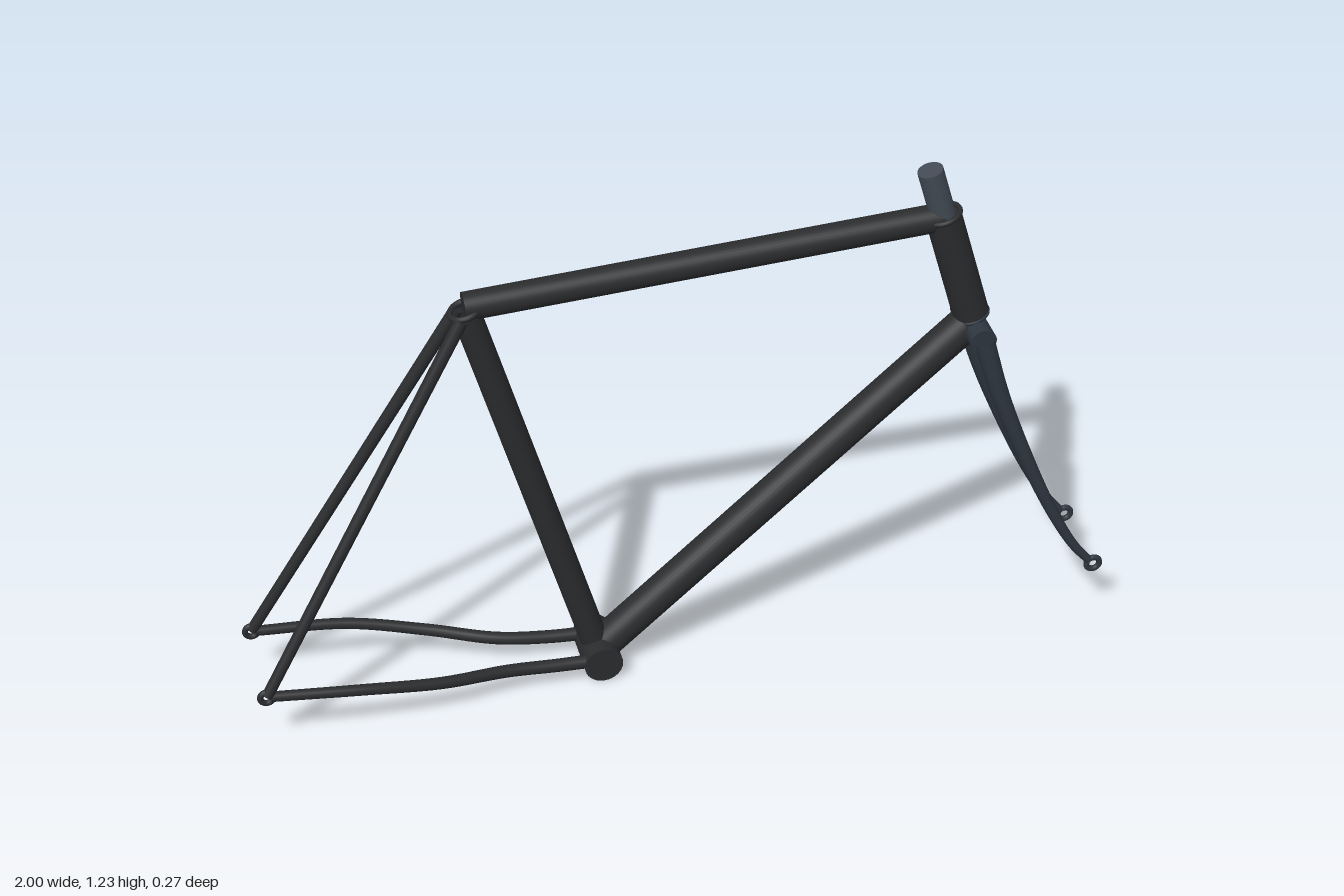
import * as THREE from 'three';

const paint = (color) => new THREE.MeshStandardMaterial({ color, side: THREE.DoubleSide });
const frameMat = paint(0x2b2c2e);
const forkMat = paint(0x2e3640);
const steelMat = paint(0x434b55);
const V = (x, y, z = 0) => new THREE.Vector3(x, y, z);
const UP = V(0, 1, 0);

// Main joints of the frame, all in the x/y plane
const bottom = V(-0.195, 0.045);
const seatTop = V(-0.472, 1.025);
const headTop = V(0.594, 1.107);
const headLow = V(0.673, 0.836);
const headAxis = headTop.clone().sub(headLow).normalize();

export function createModel() {
  const group = new THREE.Group();

  function add(name, geometry, material) {
    const mesh = new THREE.Mesh(geometry, material);
    mesh.name = name;
    group.add(mesh);
    return mesh;
  }

  // Straight tube between two points
  function tube(name, a, b, rA, rB, material, open = false) {
    const geo = new THREE.CylinderGeometry(rB, rA, a.distanceTo(b), 32, 1, open);
    const mesh = add(name, geo, material);
    mesh.position.copy(a).lerp(b, 0.5);
    mesh.quaternion.setFromUnitVectors(UP, b.clone().sub(a).normalize());
    return mesh;
  }

  // Curved tube whose radius tapers from rA to rB
  function taperedTube(name, points, rA, rB, material) {
    const curve = new THREE.CatmullRomCurve3(points);
    const steps = 40, sides = 16;
    const geo = new THREE.TubeGeometry(curve, steps, 1, sides);
    const pos = geo.attributes.position;
    const p = V(0, 0);
    for (let i = 0; i < pos.count; i++) {
      const t = Math.floor(i / (sides + 1)) / steps;
      const c = curve.getPointAt(t);
      p.fromBufferAttribute(pos, i).sub(c);
      p.multiplyScalar(THREE.MathUtils.lerp(rA, rB, t)).add(c);
      pos.setXYZ(i, p.x, p.y, p.z);
    }
    return add(name, geo, material);
  }

  // Ring around a given axis
  function ring(name, center, axis, radius, thickness, material) {
    const mesh = add(name, new THREE.TorusGeometry(radius, thickness, 12, 32), material);
    mesh.position.copy(center);
    mesh.quaternion.setFromUnitVectors(V(0, 0, 1), axis);
    return mesh;
  }

  // Main triangle
  const seatAxis = seatTop.clone().sub(bottom).normalize();
  tube('seatTube', bottom, seatTop, 0.032, 0.032, frameMat, true);
  tube('topTube', V(-0.475, 1.034), V(0.594, 1.1), 0.032, 0.032, frameMat);
  tube('downTube', bottom, V(0.664, 0.812), 0.041, 0.041, frameMat);
  tube('headTube', headLow, headTop, 0.041, 0.041, frameMat);
  tube('bottomBracketShell', V(-0.195, 0.045, -0.068), V(-0.195, 0.045, 0.068), 0.045, 0.045, frameMat);
  ring('seatCollar', seatTop, seatAxis, 0.034, 0.007, frameMat);
  ring('upperHeadRing', headTop, headAxis, 0.039, 0.006, frameMat);
  ring('lowerHeadRing', headLow, headAxis, 0.037, 0.006, forkMat);

  // Steerer running through the head tube
  const steererTop = headTop.clone().addScaledVector(headAxis, 0.121);
  tube('steerer', V(0.681, 0.808), steererTop, 0.029, 0.029, steelMat);

  // Fork crown
  tube('forkCrown', V(0.68, 0.806, -0.077), V(0.68, 0.806, 0.077), 0.03, 0.03, forkMat);

  // Stays, fork blades and axle eyes on both sides
  for (const [side, s] of [['left', -1], ['right', 1]]) {
    tube(side + 'SeatStay', V(-0.976, 0.155, s * 0.122), V(-0.485, 1.015, s * 0.026), 0.013, 0.015, frameMat);
    taperedTube(side + 'ChainStay', [
      V(-0.195, 0.05, s * 0.052), V(-0.3, 0.055, s * 0.054), V(-0.42, 0.068, s * 0.062),
      V(-0.58, 0.095, s * 0.1), V(-0.76, 0.13, s * 0.123), V(-0.968, 0.15, s * 0.121),
    ], 0.016, 0.012, frameMat);
    taperedTube(side + 'ForkBlade', [
      V(0.682, 0.806, s * 0.073), V(0.725, 0.66, s * 0.081), V(0.787, 0.497, s * 0.088),
      V(0.866, 0.318, s * 0.095), V(0.925, 0.212, s * 0.099), V(0.966, 0.161, s * 0.101),
    ], 0.024, 0.01, forkMat);
    ring(side + 'RearDropout', V(-0.978, 0.15, s * 0.122), V(0, 0, 1), 0.015, 0.007, frameMat);
    ring(side + 'FrontDropout', V(0.977, 0.15, s * 0.101), V(0, 0, 1), 0.016, 0.007, forkMat);
  }

  return group;
}
